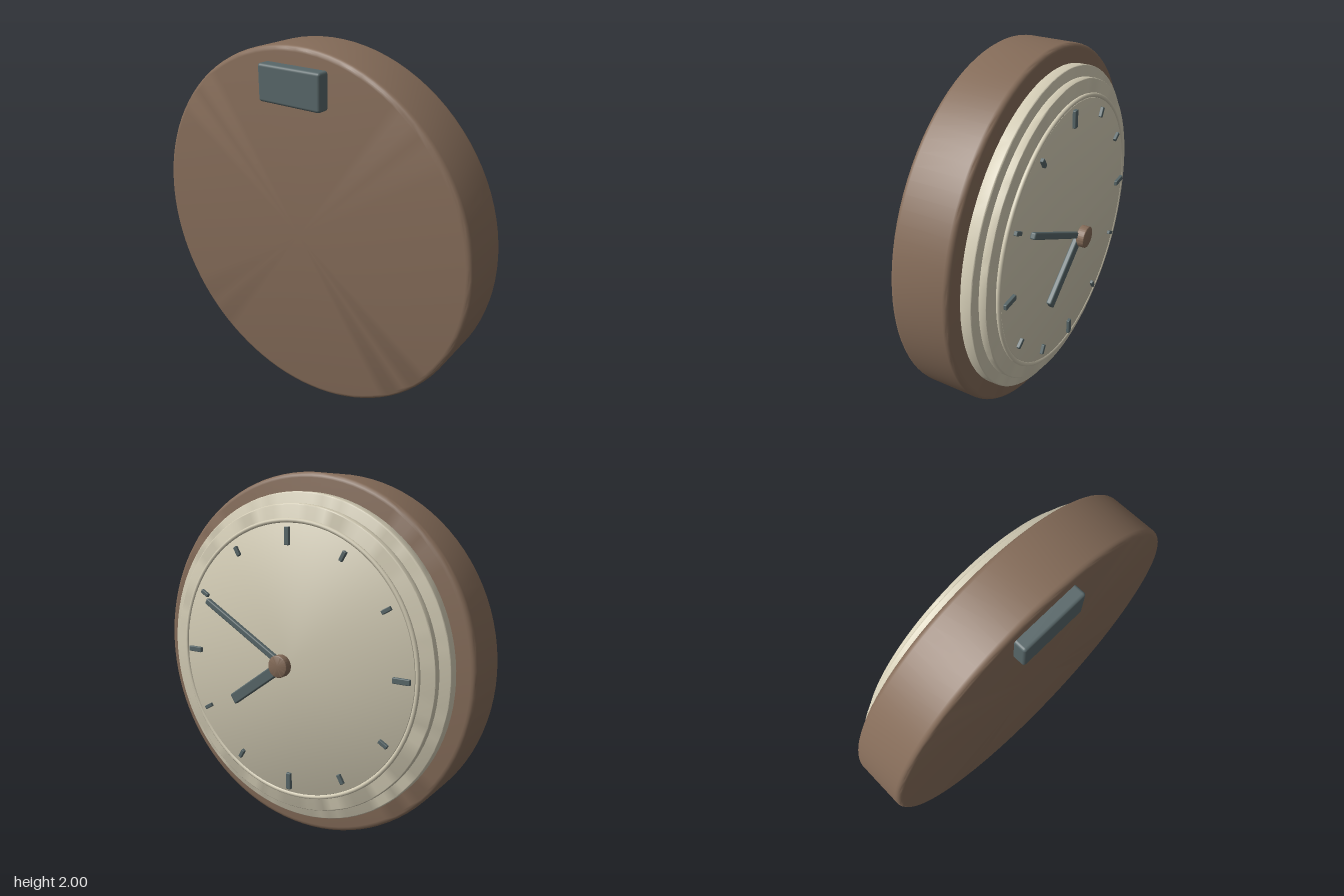
import * as THREE from 'three';
import { toCreasedNormals } from 'three/addons/utils/BufferGeometryUtils.js';
import { RoundedBoxGeometry } from 'three/addons/geometries/RoundedBoxGeometry.js';

const material = (name, color) => {
  const m = new THREE.MeshStandardMaterial({ color });
  m.name = name;
  return m;
};

export function createModel() {
  const brown = material('brown case', 0x856c59);
  const cream = material('cream dial', 0xd2cbb4);
  const slate = material('slate details', 0x586769);

  const clock = new THREE.Group();
  clock.name = 'wallClock';

  const add = (name, geometry, mat, parent = clock) => {
    const mesh = new THREE.Mesh(geometry, mat);
    mesh.name = name;
    parent.add(mesh);
    return mesh;
  };

  // Round slab with softened rims, spanning zBack (wall side) to zFace (dial side)
  const slab = (name, radius, zBack, zFace, bevel, mat, y = 1) => {
    const profile = [new THREE.Vector2(0, -zBack)];
    for (const [h, start] of [[-zBack + bevel, -Math.PI / 2], [-zFace - bevel, 0]]) {
      for (let i = 0; i <= 4; i++) {
        const a = start + (i / 4) * (Math.PI / 2);
        profile.push(new THREE.Vector2(radius - bevel + bevel * Math.cos(a), h + bevel * Math.sin(a)));
      }
    }
    profile.push(new THREE.Vector2(0, -zFace));
    const geometry = new THREE.LatheGeometry(profile, 96).rotateX(-Math.PI / 2);
    add(name, toCreasedNormals(geometry, 0.6), mat).position.y = y;
  };

  // Case and stepped bezel
  slab('case', 1, 0.24, -0.078, 0.028, brown);
  slab('outerBezel', 0.9, -0.06, -0.138, 0.008, cream);
  slab('innerBezel', 0.84, -0.12, -0.178, 0.008, cream);

  // Dial with a thin raised rim
  slab('dial', 0.742, -0.16, -0.198, 0.002, cream);
  add('dialRim', new THREE.TorusGeometry(0.754, 0.012, 10, 96), cream).position.set(0, 1, -0.191);

  // Hour marks, longer at the quarters
  const marks = new THREE.Group();
  marks.name = 'hourMarks';
  marks.position.set(0, 1, -0.206);
  clock.add(marks);
  for (let i = 0; i < 12; i++) {
    const quarter = i % 3 === 0;
    const a = (i * Math.PI) / 6;
    const size = quarter ? [0.03, 0.095] : [0.022, 0.055];
    const mark = add('hourMark', new RoundedBoxGeometry(...size, 0.02, 2, 0.004), slate, marks);
    mark.position.set(0.675 * Math.sin(a), 0.675 * Math.cos(a), 0);
    mark.rotation.z = -a;
  }

  // Hands, angled from the model's +x axis
  const hand = (name, length, width, degrees) => {
    const geometry = new RoundedBoxGeometry(length, width, 0.03, 3, 0.008).translate(length / 2, 0, 0);
    const mesh = add(name, geometry, slate);
    mesh.position.set(0, 1, -0.252);
    mesh.rotation.z = THREE.MathUtils.degToRad(degrees);
  };
  hand('minuteHand', 0.61, 0.035, 30);
  hand('hourHand', 0.425, 0.062, -35);

  // Centre cap
  slab('centreCap', 0.06, -0.258, -0.305, 0.006, brown);

  // Hanger block on the wall side
  add('hangerBlock', new RoundedBoxGeometry(0.38, 0.19, 0.085, 3, 0.015), slate).position.set(0, 1.813, 0.262);

  return clock;
}
